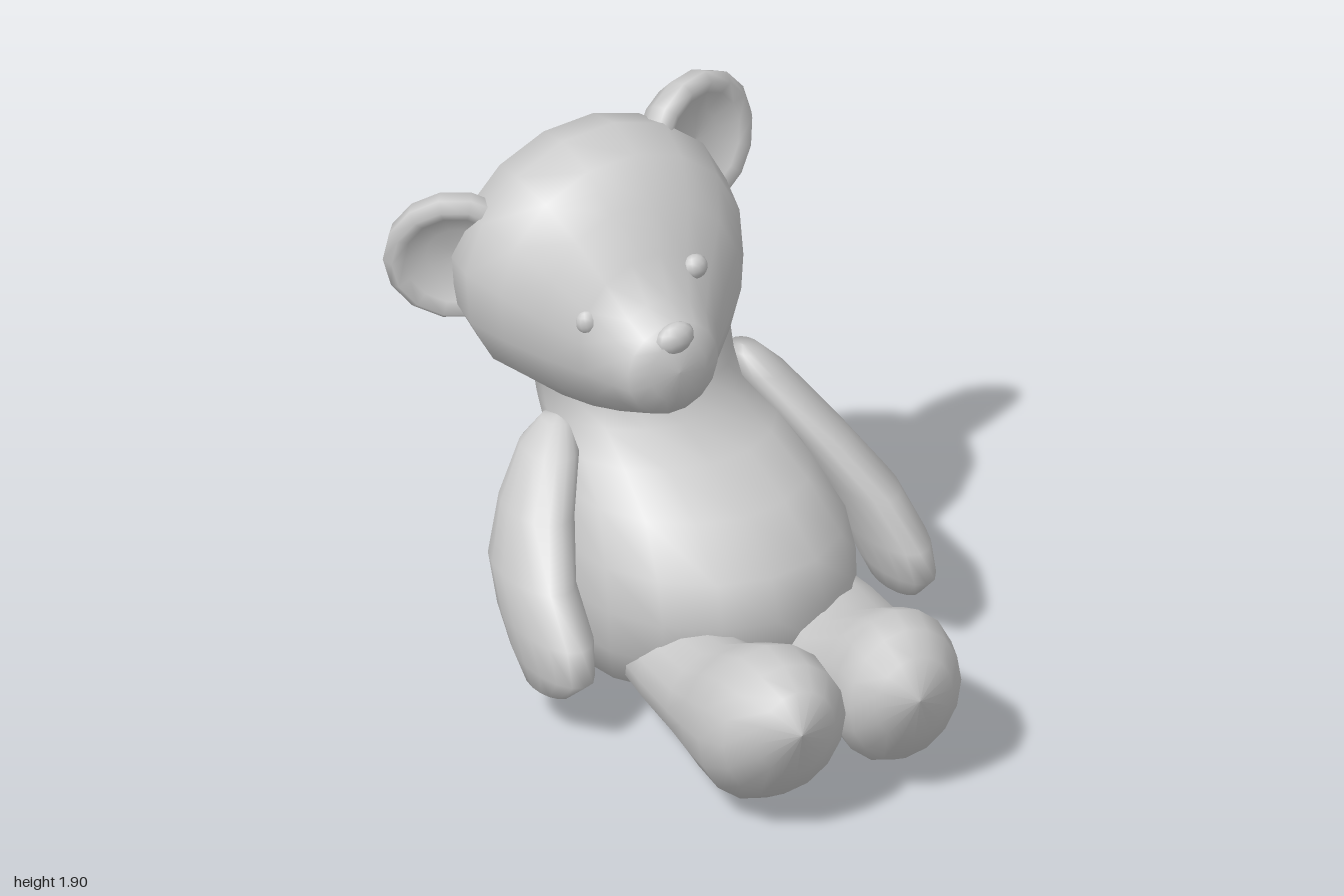
import * as THREE from 'three';

const material = new THREE.MeshStandardMaterial({ color: 0xcccccc });
const SIDES = 16;

// Smooth skin over elliptical rings [x, y, z, rx, r2], listed upward along the given axis
function loft(name, axis, rings) {
  const pos = [], index = [];
  rings.forEach(([x, y, z, rx, r2], i) => {
    for (let j = 0; j < SIDES; j++) {
      const a = (j / SIDES) * Math.PI * 2;
      const c = Math.cos(a) * rx, s = Math.sin(a) * r2;
      if (axis === 'y') pos.push(x + c, y, z - s);
      else pos.push(x + c, y + s, z);
      if (i === rings.length - 1) continue;
      const k = (j + 1) % SIDES, p = i * SIDES, q = p + SIDES;
      index.push(p + j, p + k, q + j, p + k, q + k, q + j);
    }
  });
  const geo = new THREE.BufferGeometry();
  geo.setAttribute('position', new THREE.Float32BufferAttribute(pos, 3));
  geo.setIndex(index);
  geo.computeVertexNormals();
  return named(name, geo);
}

function named(name, geo) {
  const mesh = new THREE.Mesh(geo, material);
  mesh.name = name;
  return mesh;
}

function ball(name, x, y, z, rx, ry, rz) {
  const mesh = named(name, new THREE.SphereGeometry(1, 12, 8));
  mesh.position.set(x, y, z);
  mesh.scale.set(rx, ry, rz);
  return mesh;
}

// Dished ear with a thick back that runs into the head
function createEar(name, x, y, z, turn) {
  const profile = [[0, -0.13], [0.08, -0.125], [0.17, -0.09], [0.23, -0.02], [0.24, 0.04],
    [0.21, 0.07], [0.17, 0.05], [0.1, 0.015], [0, 0.01]].map(p => new THREE.Vector2(...p));
  const ear = named(name, new THREE.LatheGeometry(profile, 14));
  ear.geometry.rotateX(Math.PI / 2);
  ear.position.set(x, y, z);
  ear.rotation.set(0, turn, 0);
  return ear;
}

// Head leans sideways; its parts sit in its own frame
function createHead() {
  const head = new THREE.Group();
  head.name = 'head';
  head.add(loft('skull', 'z', [
    [0, 0, -0.4, 0, 0],
    [0, 0, -0.385, 0.18, 0.15],
    [0, 0, -0.3, 0.35, 0.29],
    [0, 0.01, -0.15, 0.465, 0.425],
    [0, 0.02, 0, 0.49, 0.455],
    [0, 0, 0.15, 0.45, 0.43],
    [-0.01, -0.05, 0.27, 0.37, 0.37],
    [-0.03, -0.11, 0.36, 0.27, 0.29],
    [-0.05, -0.14, 0.45, 0.2, 0.21],
    [-0.06, -0.14, 0.53, 0.165, 0.165],
    [-0.06, -0.13, 0.575, 0.1, 0.11],
    [-0.06, -0.13, 0.585, 0, 0],
  ]));

  head.add(createEar('leftEar', 0.455, 0.16, -0.09, 0.36));
  head.add(createEar('rightEar', -0.405, 0.18, -0.15, -0.55));
  head.add(ball('leftEye', 0.172, 0.055, 0.372, 0.043, 0.043, 0.035));
  head.add(ball('rightEye', -0.225, 0.055, 0.35, 0.042, 0.045, 0.035));
  head.add(ball('nose', -0.03, -0.025, 0.55, 0.07, 0.055, 0.042));

  head.position.set(-0.15, 1.38, -0.6);
  head.rotation.z = 0.29;
  return head;
}

export function createModel() {
  const bear = new THREE.Group();
  bear.name = 'teddyBear';

  // Round belly narrowing to the neck, which widens again inside the head
  bear.add(loft('body', 'y', [
    [0.05, 0, -0.4, 0, 0],
    [0.06, 0.02, -0.36, 0.32, 0.32],
    [0.06, 0.1, -0.31, 0.44, 0.44],
    [0.05, 0.25, -0.26, 0.49, 0.51],
    [0.04, 0.4, -0.25, 0.49, 0.52],
    [0.03, 0.55, -0.275, 0.475, 0.51],
    [0.02, 0.7, -0.37, 0.42, 0.45],
    [0.01, 0.8, -0.48, 0.38, 0.355],
    [-0.03, 0.9, -0.55, 0.34, 0.305],
    [-0.04, 1, -0.58, 0.335, 0.295],
    [-0.06, 1.1, -0.62, 0.36, 0.3],
    [-0.1, 1.22, -0.66, 0.42, 0.32],
    [-0.13, 1.36, -0.67, 0.46, 0.32],
    [-0.15, 1.5, -0.66, 0.38, 0.28],
    [-0.15, 1.6, -0.65, 0, 0],
  ]));

  bear.add(createHead());

  // Flat, drooping arms, set unevenly
  bear.add(loft('leftArm', 'y', [
    [0.72, 0.13, -0.22, 0, 0],
    [0.72, 0.16, -0.21, 0.06, 0.14],
    [0.71, 0.25, -0.19, 0.095, 0.22],
    [0.69, 0.36, -0.23, 0.11, 0.25],
    [0.63, 0.52, -0.31, 0.11, 0.23],
    [0.51, 0.7, -0.385, 0.1, 0.18],
    [0.37, 0.9, -0.48, 0.085, 0.105],
    [0.33, 0.97, -0.5, 0.05, 0.07],
    [0.32, 0.98, -0.5, 0, 0],
  ]));
  bear.add(loft('rightArm', 'y', [
    [-0.59, 0.12, -0.13, 0, 0],
    [-0.59, 0.15, -0.13, 0.06, 0.12],
    [-0.58, 0.24, -0.12, 0.1, 0.22],
    [-0.58, 0.36, -0.17, 0.115, 0.25],
    [-0.57, 0.5, -0.28, 0.11, 0.22],
    [-0.51, 0.68, -0.36, 0.105, 0.17],
    [-0.41, 0.82, -0.46, 0.09, 0.12],
    [-0.36, 0.89, -0.5, 0.05, 0.06],
    [-0.35, 0.9, -0.5, 0, 0],
  ]));

  // Outstretched legs swelling into raised feet
  bear.add(loft('leftLeg', 'z', [
    [0.34, 0.2, -0.35, 0, 0],
    [0.35, 0.2, -0.25, 0.18, 0.14],
    [0.34, 0.19, 0.05, 0.215, 0.17],
    [0.29, 0.205, 0.3, 0.245, 0.19],
    [0.28, 0.265, 0.5, 0.22, 0.24],
    [0.24, 0.32, 0.68, 0.225, 0.275],
    [0.215, 0.35, 0.8, 0.205, 0.235],
    [0.2, 0.38, 0.89, 0.14, 0.15],
    [0.2, 0.39, 0.93, 0, 0],
  ]));
  bear.add(loft('rightLeg', 'z', [
    [-0.18, 0.2, -0.35, 0, 0],
    [-0.18, 0.2, -0.25, 0.15, 0.14],
    [-0.18, 0.19, 0.05, 0.18, 0.17],
    [-0.19, 0.205, 0.3, 0.2, 0.19],
    [-0.22, 0.265, 0.5, 0.225, 0.24],
    [-0.24, 0.32, 0.7, 0.25, 0.28],
    [-0.25, 0.36, 0.84, 0.225, 0.235],
    [-0.26, 0.4, 0.945, 0.14, 0.15],
    [-0.27, 0.42, 1, 0, 0],
  ]));

  bear.add(ball('tail', 0.04, 0.195, -0.71, 0.175, 0.17, 0.17));
  return bear;
}
